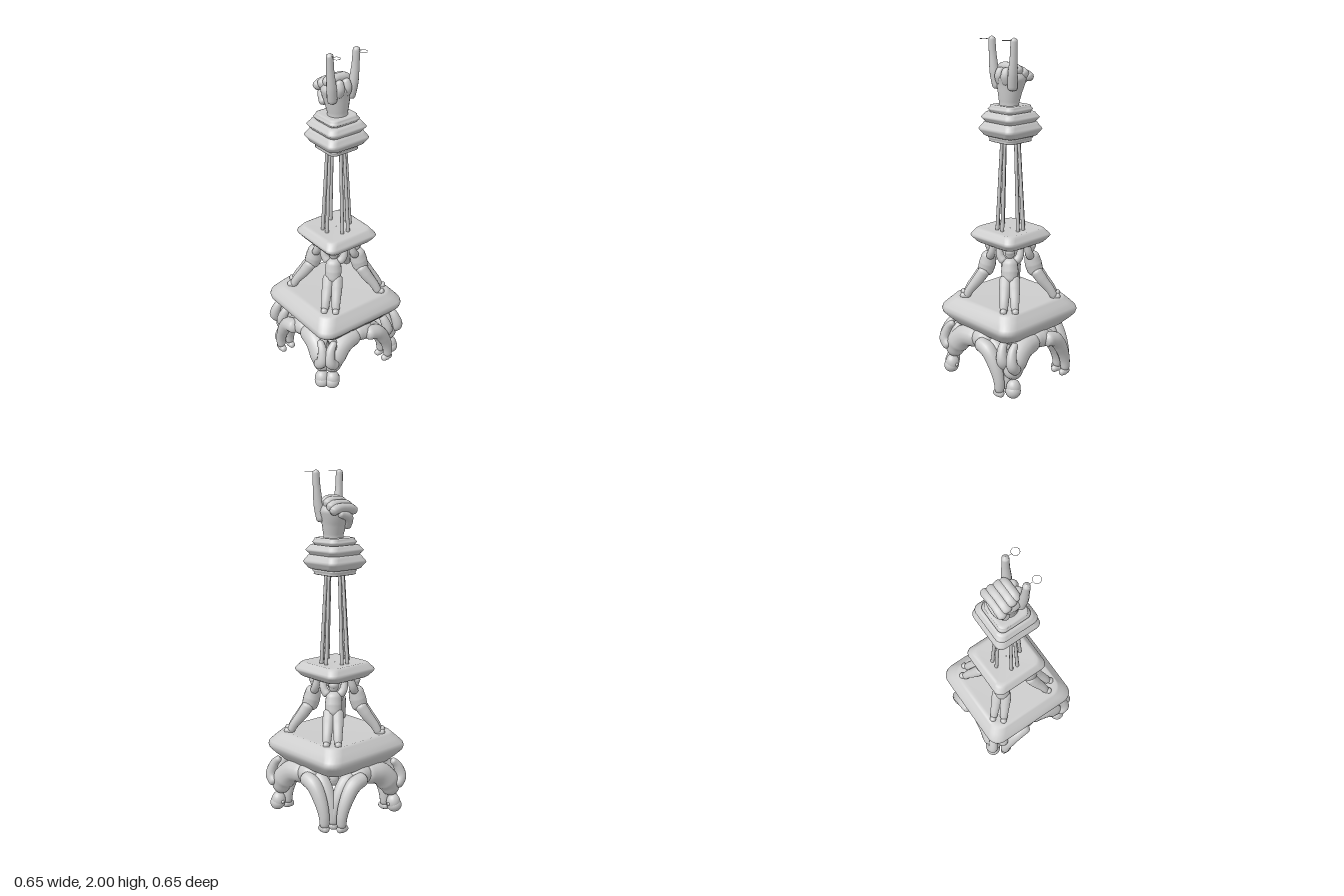
import * as THREE from 'three';
import { mergeVertices } from 'three/addons/utils/BufferGeometryUtils.js';

const material = new THREE.MeshStandardMaterial({ color: 0xcccccc });
const V = (x, y, z) => new THREE.Vector3(x, y, z);

function addMesh(parent, geometry, name) {
  const mesh = new THREE.Mesh(geometry, material);
  mesh.name = name;
  parent.add(mesh);
  return mesh;
}

// Tube along a curve with changing radius and rounded ends
function limb(parent, name, points, radii, stretch = V(1, 1, 1), around = 14) {
  const steps = 28;
  const curve = new THREE.CatmullRomCurve3(points);
  let geo = new THREE.TubeGeometry(curve, steps, 1, around, false);
  const pos = geo.attributes.position;
  const length = curve.getLength();
  const p = V(0, 0, 0);
  for (let i = 0; i <= steps; i++) {
    const u = i / steps;
    const c = curve.getPointAt(u);
    const f = u * (radii.length - 1);
    const k = Math.min(Math.floor(f), radii.length - 2);
    let r = THREE.MathUtils.lerp(radii[k], radii[k + 1], f - k);
    const cap = Math.min(0.45, (r * 0.8) / length);
    const e = Math.max(0, 1 - Math.min(u, 1 - u) / cap);
    r *= Math.max(0.02, Math.sqrt(Math.max(0, 1 - e * e)));
    for (let j = 0; j <= around; j++) {
      const n = i * (around + 1) + j;
      p.fromBufferAttribute(pos, n).sub(c).multiplyScalar(r).multiply(stretch).add(c);
      pos.setXYZ(n, p.x, p.y, p.z);
    }
  }
  geo.deleteAttribute('uv');
  geo.deleteAttribute('normal');
  geo = mergeVertices(geo, 1e-6);
  geo.computeVertexNormals();
  return addMesh(parent, geo, name);
}

function ball(parent, name, c, rx, ry = rx, rz = rx) {
  const m = addMesh(parent, new THREE.SphereGeometry(1, 20, 14), name);
  m.position.copy(c);
  m.scale.set(rx, ry, rz);
  return m;
}

// Solid built from stacked rounded squares; profile = [half width, height], bottom to top
function squareSolid(parent, name, profile, round, z = 0) {
  const per = 7, n = per * 4, verts = [], index = [];
  for (const [h, y] of profile) {
    const r = Math.min(round, h * 0.5);
    for (let c = 0; c < 4; c++) {
      const mid = Math.PI * (0.25 + c * 0.5);
      for (let k = 0; k < per; k++) {
        const a = c * Math.PI / 2 + (k / (per - 1)) * Math.PI / 2;
        verts.push(Math.sign(Math.cos(mid)) * (h - r) + r * Math.cos(a), y,
          z + Math.sign(Math.sin(mid)) * (h - r) + r * Math.sin(a));
      }
    }
  }
  for (let i = 0; i < profile.length - 1; i++) {
    for (let j = 0; j < n; j++) {
      const a = i * n + j, b = i * n + (j + 1) % n;
      index.push(a, a + n, b, b, a + n, b + n);
    }
  }
  const geo = new THREE.BufferGeometry();
  geo.setAttribute('position', new THREE.Float32BufferAttribute(verts, 3));
  geo.setIndex(index);
  geo.computeVertexNormals();
  return addMesh(parent, geo, name);
}

// Cushion-edged slab with a bulging rim
function slab(parent, name, y0, y1, inner, outer, round, z) {
  const h = y1 - y0, mid = (inner + outer) / 2;
  return squareSolid(parent, name, [
    [0.002, y0 + h * 0.05], [inner * 0.9, y0 + h * 0.02], [inner, y0], [inner + 0.01, y0 + h * 0.08],
    [mid, y0 + h * 0.2], [outer - 0.005, y0 + h * 0.38], [outer, y0 + h * 0.5], [outer - 0.005, y0 + h * 0.62],
    [mid, y0 + h * 0.8], [inner + 0.01, y0 + h * 0.93], [inner, y1], [inner * 0.9, y1 - h * 0.02],
    [0.002, y1 - h * 0.05]], round, z);
}

// Figure bent into an arch along one side: head at one corner, feet at the next
function archFigure(parent, P, stretch) {
  const g = new THREE.Group();
  g.name = 'archFigure';
  parent.add(g);
  limb(g, 'torso', [P(0.225, 0.11, 0.255), P(0.19, 0.2, 0.245), P(0.12, 0.265, 0.235), P(0, 0.28, 0.23)],
    [0.045, 0.07, 0.066, 0.055], stretch);
  limb(g, 'hips', [P(0.05, 0.285, 0.23), P(-0.02, 0.285, 0.23), P(-0.09, 0.26, 0.235)], [0.05, 0.058, 0.05], stretch);
  ball(g, 'head', P(0.22, 0.062, 0.265), 0.042, 0.052, 0.042);
  ball(g, 'hair', P(0.225, 0.045, 0.268), 0.044, 0.042, 0.044);
  ball(g, 'nose', P(0.18, 0.06, 0.265), 0.01);
  for (const s of [-1, 1]) {
    const d = 0.24 + s * 0.032;
    limb(g, 'leg', [P(-0.02, 0.285, d), P(-0.11, 0.26, d), P(-0.17, 0.18, d), P(-0.2, 0.1, d), P(-0.205, 0.025, d)],
      [0.042, 0.045, 0.04, 0.032, 0.026]);
    limb(g, 'shoe', [P(-0.235, 0.022, d), P(-0.2, 0.024, d), P(-0.16, 0.016, d)], [0.018, 0.024, 0.016]);
    // Arms reach back up to the platform
    const e = 0.25 + s * 0.04;
    limb(g, 'arm', [P(0.21, 0.17, e), P(0.255, 0.22, e), P(0.24, 0.29, e - 0.015), P(0.2, 0.335, e - 0.025)],
      [0.032, 0.033, 0.027, 0.018]);
  }
}

// Figure standing at a corner, leaning inward with raised arms
function leaningFigure(parent, P) {
  const g = new THREE.Group();
  g.name = 'leaningFigure';
  parent.add(g);
  limb(g, 'torso', [P(0, 0.62, 0.155), P(0, 0.69, 0.135), P(0, 0.77, 0.118)], [0.045, 0.05, 0.04]);
  ball(g, 'head', P(0, 0.795, 0.115), 0.028, 0.034, 0.028);
  ball(g, 'hair', P(0, 0.806, 0.12), 0.029, 0.026, 0.029);
  for (const s of [-1, 1]) {
    limb(g, 'leg', [P(s * 0.022, 0.67, 0.14), P(s * 0.027, 0.6, 0.188), P(s * 0.03, 0.54, 0.235), P(s * 0.032, 0.49, 0.262)],
      [0.036, 0.034, 0.027, 0.022]);
    limb(g, 'shoe', [P(s * 0.032, 0.5, 0.24), P(s * 0.034, 0.5, 0.295)], [0.02, 0.018]);
    limb(g, 'arm', [P(s * 0.03, 0.74, 0.12), P(s * 0.055, 0.775, 0.108), P(s * 0.064, 0.845, 0.092)], [0.025, 0.022, 0.016]);
  }
}

export function createModel() {
  const tower = new THREE.Group();
  tower.name = 'tower';

  // Four arched figures at the base
  const wideX = V(1, 1, 0.95), wideZ = V(0.95, 1, 1);
  archFigure(tower, (a, y, d) => V(a, y, d), wideX);
  archFigure(tower, (a, y, d) => V(d, y, a), wideZ);
  archFigure(tower, (a, y, d) => V(a, y, -d), wideX);
  archFigure(tower, (a, y, d) => V(-d, y, a), wideZ);

  // Platforms and stacked collar
  slab(tower, 'lowerPlatform', 0.325, 0.497, 0.245, 0.305, 0.075, 0);
  slab(tower, 'middlePlatform', 0.828, 0.915, 0.142, 0.177, 0.045, -0.01);
  slab(tower, 'collarBase', 1.42, 1.47, 0.085, 0.1, 0.035, -0.01);
  slab(tower, 'collarWide', 1.453, 1.535, 0.108, 0.138, 0.04, -0.01);
  slab(tower, 'collarUpper', 1.528, 1.59, 0.1, 0.128, 0.04, -0.01);
  slab(tower, 'collarTop', 1.58, 1.628, 0.08, 0.1, 0.035, -0.01);

  // Four leaning figures on the diagonals
  for (const sx of [-1, 1]) for (const sz of [-1, 1]) {
    leaningFigure(tower, (t, y, d) =>
      V((sx * d - sz * t) * Math.SQRT1_2, y, (sz * d + sx * t) * Math.SQRT1_2 - 0.01));
  }

  // Paired poles on each side of the shaft
  for (let i = 0; i < 4; i++) for (const s of [-1, 1]) {
    const c = Math.round(Math.cos(i * Math.PI / 2)), n = Math.round(Math.sin(i * Math.PI / 2));
    const P = (d, t, y) => V(c * d - n * t, y, n * d + c * t - 0.01);
    limb(tower, 'pole', [P(0.085, s * 0.021, 0.89), P(0.054, s * 0.012, 1.44)], [0.011, 0.009], V(1, 1, 1), 10);
  }

  // Raised hand
  const hand = new THREE.Group();
  hand.name = 'hand';
  hand.position.z = -0.01;
  tower.add(hand);
  limb(hand, 'wristAndPalm', [V(0.01, 1.57, 0), V(0.01, 1.64, 0), V(0.005, 1.7, 0), V(-0.002, 1.76, 0), V(0, 1.84, 0)],
    [0.06, 0.058, 0.072, 0.09, 0.08], V(0.93, 1, 1), 20);
  // Folded fingers lying across the fist
  [[-0.075, 1.79, 0.027], [-0.042, 1.805, 0.031], [-0.005, 1.822, 0.031], [0.022, 1.833, 0.027]].forEach(([x, y, r], i) => {
    const w = 0.092 - i * 0.008;
    limb(hand, 'foldedFinger', [V(x, y - 0.02, -w), V(x, y, -w * 0.5), V(x, y + 0.004, 0), V(x, y, w * 0.5), V(x, y - 0.02, w)],
      [r * 0.9, r, r * 0.95, r, r * 0.9]);
  });
  limb(hand, 'thumb', [V(-0.03, 1.68, 0.06), V(-0.075, 1.74, 0.035), V(-0.08, 1.765, -0.04)], [0.025, 0.026, 0.02]);
  for (const s of [-1, 1]) {
    limb(hand, 'knuckle', [V(0.045, 1.74, s * 0.025), V(0.06, 1.79, s * 0.024), V(0.045, 1.835, s * 0.022)], [0.024, 0.027, 0.022]);
    limb(hand, 'raisedFinger', [V(0.04, 1.71, s * 0.058), V(0.052, 1.8, s * 0.072), V(0.055, 1.89, s * 0.082), V(0.057, 2, s * 0.088)],
      [0.028, 0.027, 0.021, 0.019]);
    // Thin ring on a stalk beside each fingertip
    const ring = addMesh(hand, new THREE.TorusGeometry(0.022, 0.0012, 6, 32), 'fingerRing');
    ring.rotation.x = Math.PI / 2;
    ring.position.set(0.115, 1.988, s * 0.088);
    const stalk = addMesh(hand, new THREE.CylinderGeometry(0.001, 0.001, 0.03, 6), 'ringStalk');
    stalk.rotation.z = Math.PI / 2;
    stalk.position.set(0.08, 1.988, s * 0.088);
  }
  return tower;
}
